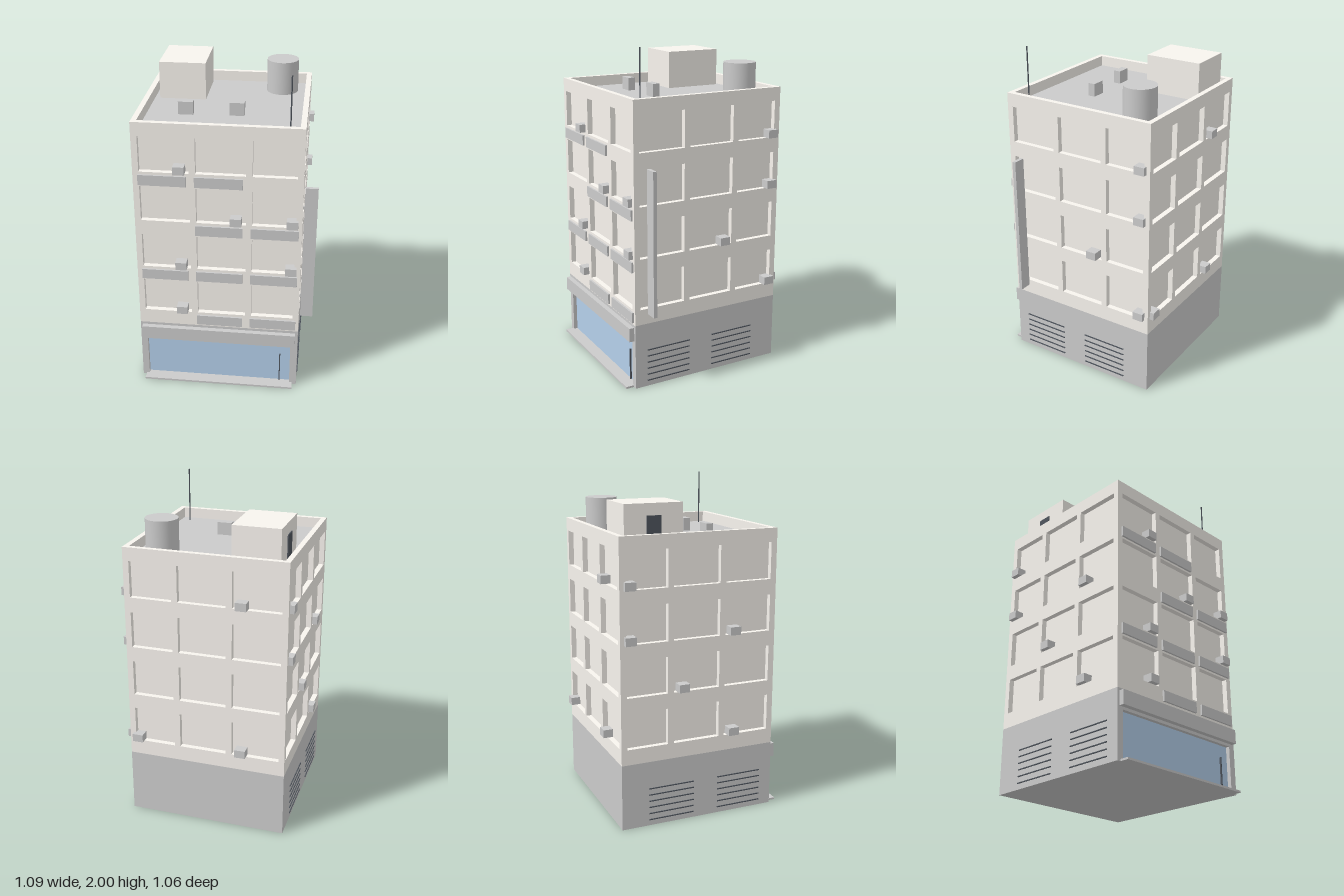
import * as THREE from 'three';

const mat = (color) => new THREE.MeshStandardMaterial({ color });
const GREY = mat(0xcccccc), WALL = mat(0xf8f4ee), ROOF = mat(0xc0c0c2);
const GLASS = mat(0xb4cfea), DARK = mat(0x50565e);

// Main extents of the block
const X0 = -0.518, X1 = 0.458, Z0 = -0.504, Z1 = 0.475;
const CX = (X0 + X1) / 2, CZ = (Z0 + Z1) / 2, W = X1 - X0, D = Z1 - Z0;
const BASE = 0.403, ROOF_Y = 1.667, TOP = 1.73, T = 0.032, PIER = 0.036;
const sillY = (floor) => 0.497 + 0.311 * floor;

export function createModel() {
  const model = new THREE.Group();

  const add = (name, geo, material, x = 0, y = 0, z = 0) => {
    const mesh = new THREE.Mesh(geo, material);
    mesh.name = name;
    mesh.position.set(x, y, z);
    model.add(mesh);
    return mesh;
  };
  // Box given by its minimum and maximum on each axis
  const box = (name, material, x0, x1, y0, y1, z0, z1) =>
    add(name, new THREE.BoxGeometry(x1 - x0, y1 - y0, z1 - z0), material,
      (x0 + x1) / 2, (y0 + y1) / 2, (z0 + z1) / 2);

  const rect = (path, x0, x1, y0, y1) => {
    path.moveTo(x0, y0);
    path.lineTo(x1, y0);
    path.lineTo(x1, y1);
    path.lineTo(x0, y1);
    path.closePath();
    return path;
  };

  // Facade sheet with three columns by four floors of window openings;
  // u runs from 0 to len, trim shortens both ends of the sheet
  const facade = (len, trim) => {
    const shape = rect(new THREE.Shape(), trim, len - trim, BASE, TOP);
    for (let floor = 0; floor < 4; floor++) {
      for (let col = 0; col < 3; col++) {
        const u0 = (col * len) / 3 + PIER;
        const u1 = col < 2 ? ((col + 1) * len) / 3 : len - PIER;
        shape.holes.push(rect(new THREE.Path(), u0, u1, sillY(floor), sillY(floor) + 0.219));
      }
    }
    return new THREE.ExtrudeGeometry(shape, { depth: T, bevelEnabled: false });
  };

  // Upper storeys: core behind the openings, four facades rising into a parapet
  box('upperCore', WALL, X0 + T, X1 - T, BASE, ROOF_Y - 0.01, Z0 + T, Z1 - T);
  box('roofDeck', ROOF, X0 + T, X1 - T, ROOF_Y - 0.01, ROOF_Y, Z0 + T, Z1 - T);
  add('frontFacade', facade(W, 0), WALL, X0, 0, Z1 - T);
  add('backFacade', facade(W, 0), WALL, X0, 0, Z0);
  add('rightSideFacade', facade(D, T), WALL, X1 - T, 0, Z1).rotation.y = Math.PI / 2;
  add('leftSideFacade', facade(D, T), WALL, X0, 0, Z1).rotation.y = Math.PI / 2;

  // Ground floor with a recessed shop window
  box('groundFloor', GREY, X0, X1, 0, BASE, Z0, Z1 - T);
  box('shopPierRight', GREY, X0, -0.478, 0, BASE, Z1 - T, Z1);
  box('shopPierLeft', GREY, 0.415, X1, 0, BASE, Z1 - T, Z1);
  box('shopLintel', GREY, -0.478, 0.415, 0.285, BASE, Z1 - T, Z1);
  box('shopGlass', GLASS, -0.478, 0.415, 0.01, 0.285, Z1 - T, Z1 - T + 0.008);
  box('doorHandle', DARK, 0.348, 0.354, 0.01, 0.21, Z1 - T + 0.008, Z1 - T + 0.018);
  box('fasciaBoard', GREY, -0.504, 0.442, 0.302, 0.387, Z1, 0.506);
  box('frontStep', GREY, -0.495, 0.433, 0, 0.012, Z1 - T, 0.527);

  // Louvre slats on both sides of the ground floor
  for (const [z0, z1] of [[0.11, 0.397], [-0.335, -0.048]]) {
    for (let i = 0; i < 6; i++) {
      const y = 0.037 + i * 0.0395;
      box('louvreSlat', DARK, X1, X1 + 0.005, y - 0.003, y + 0.003, z0, z1);
      box('louvreSlat', DARK, X0 - 0.005, X0, y - 0.003, y + 0.003, z0, z1);
    }
  }

  // Signboards under the front windows: columns used on each floor
  [[1, 2], [0, 1, 2], [1, 2], [0, 1]].forEach((cols, floor) => {
    for (const col of cols) {
      const x = -0.349 + col * 0.325, y = sillY(floor) - 0.08;
      box('frontSignboard', GREY, x - 0.139, x + 0.139, y, y + 0.064, Z1, 0.487);
    }
  });

  // Tall blade sign projecting from the side wall
  box('bladeSign', GREY, 0.465, 0.54, 0.467, 1.337, 0.374, 0.396);
  for (const y of [0.6, 1.2]) box('bladeSignBracket', GREY, X1, 0.465, y, y + 0.02, 0.38, 0.39);

  // Air conditioners standing on the sills: [floor, position along wall]
  const units = {
    front: [[3, -0.25], [2, 0.075], [2, 0.402], [1, -0.25], [1, 0.402], [0, -0.25]],
    back: [[3, -0.25], [0, -0.25], [0, 0.402]],
    right: [[3, -0.447], [2, -0.447], [1, -0.12], [0, -0.447]],
    left: [[3, -0.447], [2, -0.447], [2, 0.205], [1, -0.12], [0, 0.205]],
  };
  const H = 0.033, OUT = 0.027;
  for (const [side, list] of Object.entries(units)) {
    for (const [floor, p] of list) {
      const y0 = sillY(floor), y1 = y0 + 0.049, a = p - H, b = p + H;
      if (side === 'front') box('airConditioner', GREY, a, b, y0, y1, Z1 - T, Z1 + OUT);
      if (side === 'back') box('airConditioner', GREY, a, b, y0, y1, Z0 - OUT, Z0 + T);
      if (side === 'right') box('airConditioner', GREY, X1 - T, X1 + OUT, y0, y1, a, b);
      if (side === 'left') box('airConditioner', GREY, X0 - OUT, X0 + T, y0, y1, a, b);
    }
  }

  // Rooftop: stair house with door, water tank, vents and mast
  box('stairHouse', WALL, -0.455, -0.172, ROOF_Y, 1.895, -0.45, 0.0 - 0.098);
  box('stairHouseDoor', DARK, -0.461, -0.455, ROOF_Y, 1.827, -0.317, -0.229);
  add('waterTank', new THREE.CylinderGeometry(0.097, 0.097, 1.87 - ROOF_Y, 32), GREY,
    0.281, (1.87 + ROOF_Y) / 2, -0.328);
  for (const [x, z] of [[-0.255, 0.145], [0.045, 0.132]])
    box('roofVent', GREY, x - 0.044, x + 0.044, ROOF_Y, 1.745, z - 0.022, z + 0.022);
  add('mast', new THREE.CylinderGeometry(0.004, 0.004, 2 - ROOF_Y, 8), DARK,
    0.369, (2 + ROOF_Y) / 2, 0.385);

  return model;
}
